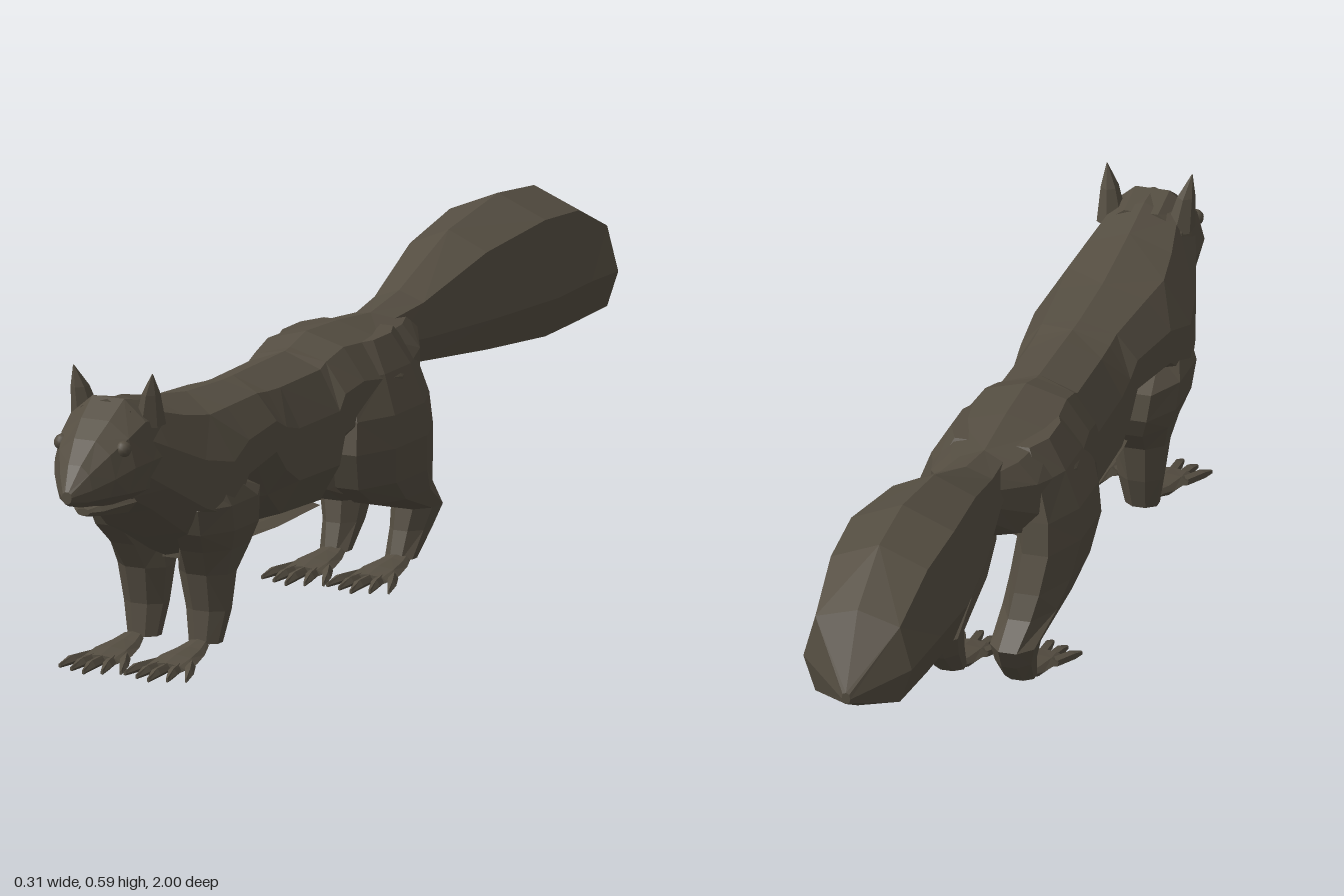
import * as THREE from 'three';

const fur = new THREE.MeshStandardMaterial({ color: 0x544d41 });
fur.name = 'brown fur';

// Faceted skin over a row of rings, closed at both ends
function loft(name, rings) {
  const n = rings[0].length, pos = [];
  const tri = (...pts) => pts.forEach(p => pos.push(p.x, p.y, p.z));
  for (let i = 0; i + 1 < rings.length; i++) {
    for (let j = 0; j < n; j++) {
      const k = (j + 1) % n;
      const a = rings[i][j], b = rings[i][k], c = rings[i + 1][j], d = rings[i + 1][k];
      if ((i + j) % 2) { tri(a, c, b); tri(b, c, d); }
      else { tri(a, c, d); tri(a, d, b); }
    }
  }
  const first = rings[0], last = rings[rings.length - 1];
  for (let j = 1; j + 1 < n; j++) {
    tri(first[0], first[j], first[j + 1]);
    tri(last[0], last[j + 1], last[j]);
  }
  const geo = new THREE.BufferGeometry();
  geo.setAttribute('position', new THREE.Float32BufferAttribute(pos, 3));
  geo.computeVertexNormals();
  const mesh = new THREE.Mesh(geo, fur);
  mesh.name = name;
  return mesh;
}

// Lengthwise part, front to back: [z, top, bottom, half width, widest height, x]
// A power below 1 squares the cross-section
function hull(name, sections, sides = 10, turn = 0, power = 1) {
  const bulge = v => Math.sign(v) * Math.abs(v) ** power;
  return loft(name, sections.map(([z, top, bottom, w, mid = (top + bottom) / 2, x = 0]) =>
    Array.from({ length: sides }, (_, j) => {
      const a = (j + turn) / sides * Math.PI * 2, s = bulge(Math.sin(a));
      return new THREE.Vector3(x + w * bulge(Math.cos(a)), mid + s * (s > 0 ? top - mid : mid - bottom), z);
    })));
}

// Upright part, top to bottom: [y, x, z, half width, half depth]
function limb(name, sections, side, sides = 8) {
  return loft(name, sections.map(([y, x, z, rx, rz]) =>
    Array.from({ length: sides }, (_, j) => {
      const a = (j + 0.5) / sides * Math.PI * 2;
      return new THREE.Vector3(side * x + rx * Math.cos(a), y, z - rz * Math.sin(a));
    })));
}

// Paw with a low palm and splayed, clawed toes
function makePaw(name, x, z) {
  const paw = new THREE.Group();
  paw.name = name;
  paw.add(hull('palm', [
    [0.125, 0.024, 0.006, 0.04],
    [0.085, 0.032, 0.005, 0.043],
    [0.035, 0.036, 0.01, 0.032],
    [0, 0.042, 0.022, 0.022]
  ], 8));
  for (let i = -2; i <= 2; i++) {
    const reach = 0.192 - Math.abs(i) * 0.014;
    paw.add(hull('toe', [
      [reach, 0.011, 0.002, 0.003, 0.006, i * 0.031],
      [reach - 0.03, 0.023, 0.004, 0.01, 0.012, i * 0.026],
      [0.09, 0.026, 0.007, 0.011, 0.015, i * 0.016]
    ], 5));
  }
  paw.position.set(x, 0, z);
  return paw;
}

export function createModel() {
  const squirrel = new THREE.Group();
  squirrel.name = 'squirrel';

  // Head and jaw, with a slightly open mouth between
  squirrel.add(hull('head', [
    [1.0, 0.385, 0.362, 0.01, 0.375],
    [0.97, 0.43, 0.35, 0.036, 0.385],
    [0.93, 0.47, 0.345, 0.062, 0.4],
    [0.89, 0.5, 0.336, 0.082, 0.415],
    [0.84, 0.532, 0.33, 0.092, 0.42],
    [0.77, 0.515, 0.33, 0.092, 0.42]
  ], 10, 0, 0.9));
  squirrel.add(hull('jaw', [
    [0.937, 0.342, 0.328, 0.014],
    [0.915, 0.348, 0.322, 0.03],
    [0.84, 0.37, 0.31, 0.058]
  ], 8));

  // Torso with a raised flank behind the arm and in front of the thigh
  squirrel.add(hull('torso', [
    [0.85, 0.525, 0.33, 0.08, 0.43],
    [0.79, 0.522, 0.3, 0.102, 0.39],
    [0.7, 0.502, 0.24, 0.13, 0.34],
    [0.62, 0.488, 0.19, 0.147, 0.32],
    [0.54, 0.475, 0.29, 0.134, 0.36],
    [0.4, 0.467, 0.3, 0.115, 0.37],
    [0.36, 0.467, 0.235, 0.114, 0.34],
    [0.31, 0.468, 0.185, 0.114, 0.32],
    [0.16, 0.47, 0.178, 0.117, 0.32],
    [0.14, 0.473, 0.26, 0.118, 0.36],
    [0.08, 0.49, 0.28, 0.125, 0.37],
    [-0.04, 0.485, 0.25, 0.14, 0.35],
    [-0.17, 0.472, 0.3, 0.105, 0.39],
    [-0.25, 0.468, 0.36, 0.055, 0.42]
  ], 10, 0.5, 0.92));
  squirrel.add(hull('bellyStrip', [
    [0.6, 0.2, 0.18, 0.05],
    [0.48, 0.198, 0.177, 0.06],
    [0.3, 0.19, 0.174, 0.06],
    [0.1, 0.183, 0.172, 0.04]
  ], 6));

  // Bushy tail
  squirrel.add(hull('tail', [
    [-0.17, 0.472, 0.362, 0.05],
    [-0.28, 0.49, 0.352, 0.064, 0.41],
    [-0.47, 0.562, 0.332, 0.1, 0.41],
    [-0.66, 0.59, 0.315, 0.124, 0.41],
    [-0.8, 0.575, 0.315, 0.117, 0.41],
    [-0.93, 0.505, 0.315, 0.102, 0.4],
    [-1.0, 0.372, 0.35, 0.008, 0.36]
  ], 8, 0, 0.72));

  for (const side of [1, -1]) {
    const label = side > 0 ? 'left' : 'right';

    squirrel.add(limb(label + 'Ear', [
      [0.574, 0.08, 0.822, 0.001, 0.001],
      [0.535, 0.072, 0.812, 0.016, 0.02],
      [0.475, 0.064, 0.8, 0.027, 0.034]
    ], side, 6));

    const eye = new THREE.Mesh(new THREE.SphereGeometry(0.015, 12, 8), fur);
    eye.name = label + 'Eye';
    eye.position.set(side * 0.062, 0.45, 0.9);
    squirrel.add(eye);

    squirrel.add(limb(label + 'FrontLeg', [
      [0.34, 0.085, 0.62, 0.045, 0.07],
      [0.3, 0.09, 0.59, 0.06, 0.13],
      [0.25, 0.082, 0.575, 0.064, 0.122],
      [0.21, 0.07, 0.567, 0.06, 0.092],
      [0.16, 0.062, 0.575, 0.053, 0.048],
      [0.09, 0.063, 0.572, 0.043, 0.033],
      [0.03, 0.062, 0.582, 0.032, 0.025]
    ], side));

    squirrel.add(limb(label + 'HindLeg', [
      [0.465, 0.055, -0.04, 0.04, 0.09],
      [0.41, 0.08, -0.035, 0.05, 0.13],
      [0.34, 0.096, -0.03, 0.062, 0.15],
      [0.28, 0.098, -0.03, 0.064, 0.16],
      [0.21, 0.088, -0.055, 0.061, 0.155],
      [0.165, 0.08, -0.105, 0.055, 0.12],
      [0.12, 0.072, -0.212, 0.045, 0.054],
      [0.08, 0.068, -0.197, 0.037, 0.045],
      [0.03, 0.066, -0.162, 0.03, 0.024]
    ], side));

    squirrel.add(makePaw(label + 'FrontPaw', side * 0.066, 0.62));
    squirrel.add(makePaw(label + 'HindPaw', side * 0.066, -0.16));
  }
  return squirrel;
}
